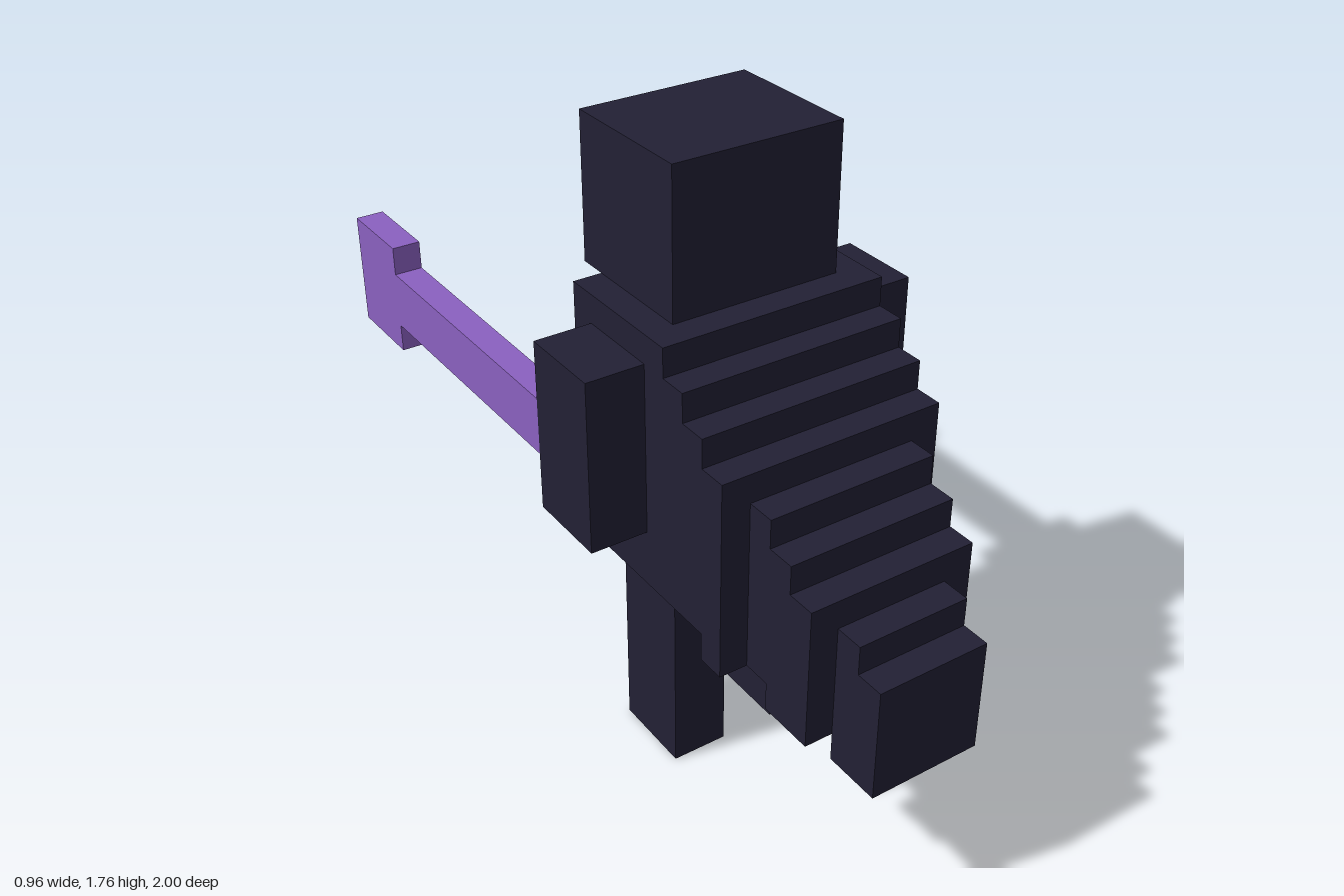
import * as THREE from 'three';

const material = (name, color) => {
  const m = new THREE.MeshStandardMaterial({ color });
  m.name = name;
  return m;
};

export function createModel() {
  const group = new THREE.Group();
  const dark = material('midnight', 0x222034);
  const purple = material('purple', 0x8b61c0);
  const red = material('red', 0xbe4058);

  // Box given by its minimum and maximum corners
  function box(name, mat, [x0, y0, z0], [x1, y1, z1]) {
    const mesh = new THREE.Mesh(new THREE.BoxGeometry(x1 - x0, y1 - y0, z1 - z0), mat);
    mesh.position.set((x0 + x1) / 2, (y0 + y1) / 2, (z0 + z1) / 2);
    mesh.name = name;
    group.add(mesh);
  }

  // Side profile of [z, y] points extruded symmetrically across x
  function slab(name, mat, points, x, width) {
    const shape = new THREE.Shape(points.map(([z, y]) => new THREE.Vector2(z, y)));
    const geo = new THREE.ExtrudeGeometry(shape, { depth: width, bevelEnabled: false });
    geo.translate(0, 0, -width / 2).rotateY(-Math.PI / 2);
    const mesh = new THREE.Mesh(geo, mat);
    mesh.position.x = x;
    mesh.name = name;
    group.add(mesh);
  }

  // Head
  box('head', dark, [-0.24, 1.36, -0.12], [0.24, 1.76, 0.28]);

  // Torso and stepped tail, each section narrower; the top drops one step per 0.08
  function section(name, width, z0, z1, firstStep, top, underside) {
    const points = [[z0, underside[0][1]], [z0, top]];
    let y = top;
    for (let z = firstStep; z < z1 - 0.01; z += 0.08) {
      points.push([z, y], [z, y - 0.08]);
      y -= 0.08;
    }
    points.push([z1, y], ...underside.slice().reverse());
    slab(name, dark, points.slice(1), 0, width);
  }
  section('torso', 0.64, -0.04, 0.6, 0.36, 1.36,
    [[-0.04, 0.64], [0.52, 0.64], [0.52, 0.56], [0.6, 0.56]]);
  section('tailMiddle', 0.48, 0.6, 0.84, 0.68, 1.04,
    [[0.6, 0.56], [0.68, 0.56], [0.68, 0.48], [0.84, 0.48]]);
  section('tailTip', 0.32, 0.84, 1, 0.92, 0.8, [[0.84, 0.4], [1, 0.4]]);

  // Mirrored eyes, arms, blades and legs
  for (const [side, s] of [['left', 1], ['right', -1]]) {
    const pair = (part, mat, x0, x1, y0, y1, z0, z1) =>
      box(side + part, mat, [Math.min(s * x0, s * x1), y0, z0], [Math.max(s * x0, s * x1), y1, z1]);
    pair('Eye', red, 0.08, 0.16, 1.52, 1.6, -0.2, -0.12);
    pair('Arm', dark, 0.32, 0.48, 0.8, 1.28, 0.04, 0.28);
    pair('Leg', dark, 0.08, 0.24, 0, 0.64, 0.04, 0.28);
    slab(side + 'Blade', purple, [
      [0.04, 0.96], [0.04, 1.12], [-0.76, 1.12], [-0.76, 1.2],
      [-1, 1.2], [-1, 0.88], [-0.76, 0.88], [-0.76, 0.96],
    ], s * 0.44, 0.08);
  }
  return group;
}
